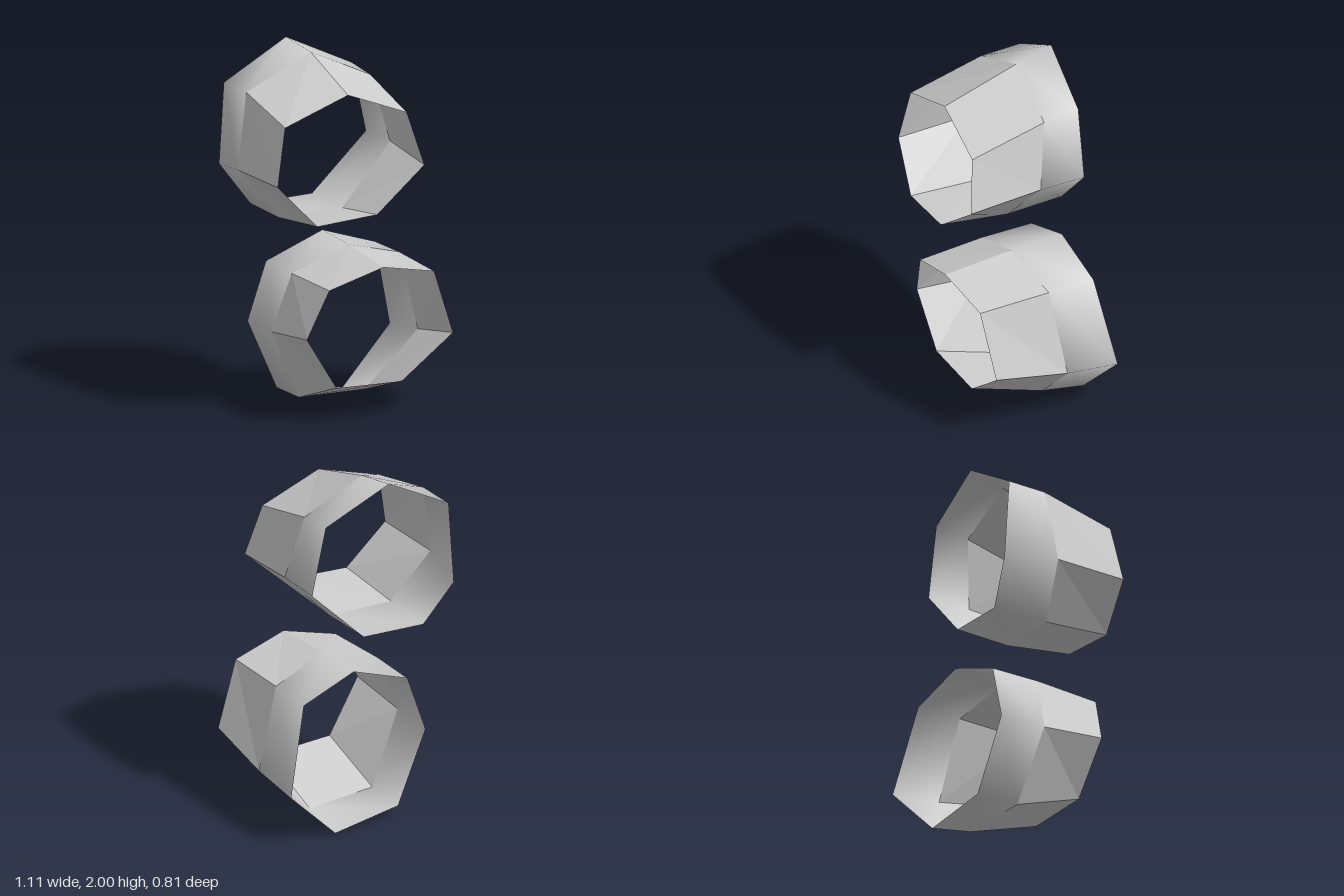
import * as THREE from 'three';

// Seven corners per loop, clockwise from the top as seen from the front.
const upper = {
  front: [[-0.09, 1.825, 0.315], [0.26, 1.69, 0.33], [0.34, 1.4, 0.38], [0.04, 1.165, 0.405],
    [-0.32, 1.14, 0.4], [-0.54, 1.375, 0.36], [-0.475, 1.69, 0.32]],
  middle: [[-0.09, 1.965, -0.12], [0.265, 1.8, -0.105], [0.35, 1.435, -0.04], [0.04, 1.11, 0],
    [-0.345, 1.1, -0.01], [-0.555, 1.375, -0.075], [-0.485, 1.79, -0.115]],
  back: [[-0.12, 2, -0.35], [0.26, 1.82, -0.315], [0.343, 1.43, -0.308], [0.03, 1.115, -0.333],
    [-0.34, 1.1, -0.345], [-0.505, 1.33, -0.392], [-0.495, 1.79, -0.355]],
};
const lower = {
  front: [[0.08, 0.865, 0.4], [0.41, 0.795, 0.36], [0.54, 0.43, 0.33], [0.235, 0.195, 0.32],
    [-0.165, 0.205, 0.325], [-0.355, 0.5, 0.345], [-0.24, 0.77, 0.385]],
  middle: [[0.08, 0.9, 0], [0.415, 0.805, -0.055], [0.55, 0.35, -0.098], [0.235, 0.05, -0.11],
    [-0.18, 0.06, -0.085], [-0.37, 0.46, -0.04], [-0.265, 0.78, -0.005]],
  back: [[0.08, 0.91, -0.31], [0.41, 0.8, -0.33], [0.54, 0.31, -0.408], [0.23, 0.003, -0.362],
    [-0.18, 0.055, -0.345], [-0.37, 0.455, -0.32], [-0.265, 0.78, -0.305]],
};

// Closed band between two loops, faceted or smooth around.
function band(a, b, smooth) {
  const n = a.length;
  const index = [];
  for (let i = 0; i < n; i++) {
    const j = (i + 1) % n;
    index.push(i, j, n + j, i, n + j, n + i);
  }
  let geo = new THREE.BufferGeometry();
  geo.setAttribute('position', new THREE.Float32BufferAttribute([...a, ...b].flat(), 3));
  geo.setIndex(index);
  if (!smooth) geo = geo.toNonIndexed();
  geo.computeVertexNormals();
  return geo;
}

export function createModel() {
  const grey = new THREE.MeshStandardMaterial({ color: 0xcccccc, side: THREE.DoubleSide });
  grey.name = 'plain grey';
  const model = new THREE.Group();
  model.name = 'openRings';

  for (const [name, loops] of [['upperRing', upper], ['lowerRing', lower]]) {
    const ring = new THREE.Group();
    ring.name = name;
    // Flat front panels
    const panels = new THREE.Mesh(band(loops.front, loops.middle, false), grey);
    panels.name = 'frontPanels';
    // Smooth rear collar
    const collar = new THREE.Mesh(band(loops.middle, loops.back, true), grey);
    collar.name = 'rearCollar';
    ring.add(panels, collar);
    model.add(ring);
  }
  return model;
}
